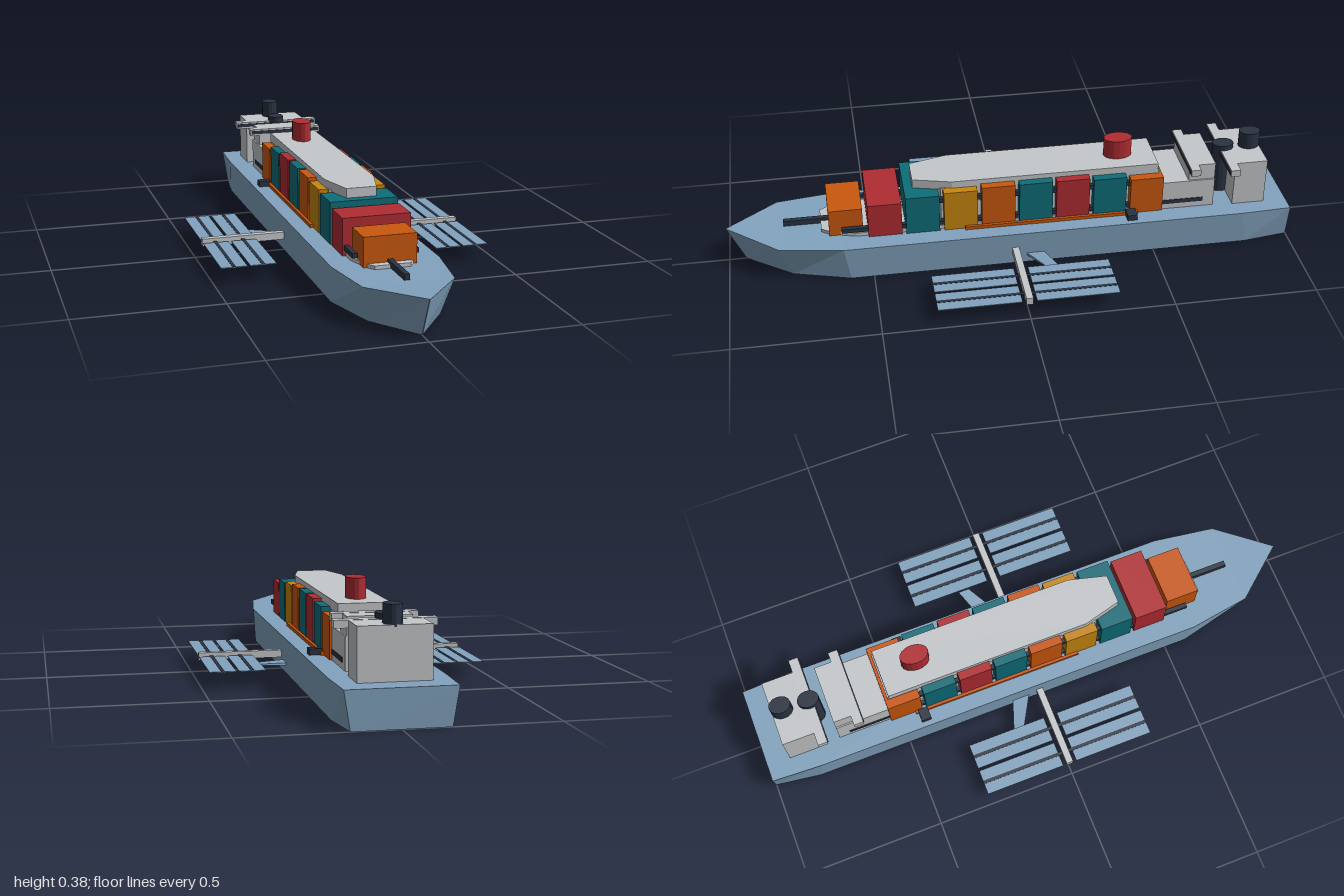
import * as THREE from 'three';

const mat = (name, color) => {
  const m = new THREE.MeshStandardMaterial({ color });
  m.name = name;
  return m;
};

export function createModel() {
  const ship = new THREE.Group();
  ship.name = 'cargoShip';
  const blue = mat('hullBlue', 0x82a3be);
  const grey = mat('paleGrey', 0xc5c8cb);
  const red = mat('red', 0xb02c32);
  const orange = mat('orange', 0xca580e);
  const teal = mat('teal', 0x0e6d79);
  const yellow = mat('yellow', 0xc8870f);
  const dark = mat('darkNavy', 0x2a3342);

  const add = (name, geo, material, parent = ship) => {
    const m = new THREE.Mesh(geo, material);
    m.name = name;
    parent.add(m);
    return m;
  };
  // Box given by its limits on each axis
  const box = (name, material, x0, x1, y0, y1, z0, z1, parent = ship) => {
    const m = add(name, new THREE.BoxGeometry(x1 - x0, y1 - y0, z1 - z0), material, parent);
    m.position.set((x0 + x1) / 2, (y0 + y1) / 2, (z0 + z1) / 2);
    return m;
  };
  // Flat outline in (x, z) raised between two heights
  const slab = (name, material, points, y0, y1) => {
    const shape = new THREE.Shape(points.map(([x, z]) => new THREE.Vector2(x, -z)));
    const geo = new THREE.ExtrudeGeometry(shape, { depth: y1 - y0, bevelEnabled: false });
    geo.rotateX(-Math.PI / 2).translate(0, y0, 0);
    return add(name, geo, material);
  };
  // Skin a row of four-cornered sections, with end caps
  const loft = (sections) => {
    const pos = [];
    const quad = (a, b, c, d) => pos.push(...a, ...b, ...c, ...a, ...c, ...d);
    for (let i = 0; i < sections.length - 1; i++) {
      const s = sections[i], t = sections[i + 1];
      for (let k = 0; k < 4; k++) quad(s[k], t[k], t[(k + 1) % 4], s[(k + 1) % 4]);
    }
    quad(...sections[0]);
    quad(...[...sections[sections.length - 1]].reverse());
    const geo = new THREE.BufferGeometry();
    geo.setAttribute('position', new THREE.Float32BufferAttribute(pos, 3));
    geo.computeVertexNormals();
    return geo;
  };

  // Hull: deck z, keel z, deck half width, keel half width, deck height
  const stations = [
    [-1, -1, 0.175, 0.155, 0.125],
    [-0.82, -0.84, 0.183, 0.178, 0.125],
    [0.6, 0.58, 0.183, 0.178, 0.125],
    [0.82, 0.78, 0.15, 0.12, 0.127],
    [1, 0.94, 0.001, 0.001, 0.134],
  ];
  add('hull', loft(stations.map(([z, zb, w, wb, y]) =>
    [[-w, y, z], [w, y, z], [wb, 0, zb], [-wb, 0, zb]])), blue);

  // Cargo bed and inner core
  slab('cargoBed', grey, [[-0.105, -0.55], [-0.105, 0.55], [-0.08, 0.64], [-0.06, 0.67],
    [0.06, 0.67], [0.08, 0.64], [0.105, 0.55], [0.105, -0.55]].reverse(), 0.12, 0.138);
  box('cargoCore', grey, -0.085, 0.085, 0.13, 0.28, -0.53, 0.25);

  // Containers: rear z, half width, top, colour
  const containers = [
    [0.525, 0.09, 0.227, orange], [0.39, 0.117, 0.253, red], [0.258, 0.118, 0.271, teal],
    [0.124, 0.118, 0.279, yellow], [-0.009, 0.118, 0.287, orange], [-0.142, 0.118, 0.287, teal],
    [-0.274, 0.118, 0.287, red], [-0.407, 0.118, 0.279, teal], [-0.54, 0.118, 0.265, orange],
  ];
  containers.forEach(([z, w, top, m], i) =>
    box('container' + (i + 1), m, -w, w, 0.126, top, z, z + 0.118));

  // Long roof over the containers
  slab('spineRoof', grey, [[-0.088, -0.525], [0.088, -0.525], [0.088, 0.21],
    [0.053, 0.345], [-0.053, 0.345], [-0.088, 0.21]].reverse(), 0.272, 0.305);

  // Rails, walkways and side bollards
  for (const s of [-1, 1]) {
    const side = new THREE.Group();
    side.name = s > 0 ? 'leftFittings' : 'rightFittings';
    ship.add(side);
    const at = (name, m, x, w, y0, y1, z0, z1) =>
      box(name, m, s * x - w / 2, s * x + w / 2, y0, y1, z0, z1, side);
    at('upperRail', dark, 0.1, 0.016, 0.235, 0.252, -0.42, 0.36);
    at('lowerRail', dark, 0.104, 0.016, 0.146, 0.162, -0.69, 0.6);
    at('walkway', orange, 0.123, 0.01, 0.122, 0.137, -0.45, 0.17);
    at('sideBollard', dark, 0.142, 0.044, 0.122, 0.146, -0.44, -0.405);
  }
  box('bowSprit', dark, -0.009, 0.009, 0.128, 0.148, 0.62, 0.8);

  // Bridge and stern house
  box('bridgeBase', grey, -0.11, 0.11, 0.12, 0.235, -0.73, -0.54);
  box('bridgeHouse', grey, -0.105, 0.105, 0.23, 0.272, -0.73, -0.635);
  box('bridgeRoof', grey, -0.105, 0.105, 0.27, 0.296, -0.73, -0.66);
  box('sternHouse', grey, -0.117, 0.117, 0.12, 0.296, -0.917, -0.8);
  // Cross beams with a window strip along the front
  for (const [w, z] of [[0.14, -0.65], [0.163, -0.787]]) {
    box('crossBeam', grey, -w, w, 0.272, 0.297, z - 0.018, z + 0.016);
    box('beamWindows', dark, -w + 0.004, w - 0.004, 0.279, 0.291, z + 0.014, z + 0.019);
  }

  // Oval funnels
  const funnel = (name, m, rx, rz, y0, y1, z) => {
    const geo = new THREE.CylinderGeometry(1, 1, y1 - y0, 16).toNonIndexed();
    geo.scale(rx, 1, rz);
    geo.computeVertexNormals();
    add(name, geo, m).position.set(0, (y0 + y1) / 2, z);
  };
  funnel('redFunnel', red, 0.034, 0.051, 0.3, 0.375, -0.395);
  funnel('sternFunnel', dark, 0.03, 0.038, 0.29, 0.357, -0.88);
  funnel('frontSternFunnel', dark, 0.03, 0.038, 0.125, 0.315, -0.785);

  // Outriggers with panels
  for (const s of [-1, 1]) {
    const wing = new THREE.Group();
    wing.name = s > 0 ? 'leftOutrigger' : 'rightOutrigger';
    ship.add(wing);
    box('outriggerBeam', grey, s * 0.325 - 0.15, s * 0.325 + 0.15, 0.042, 0.068, -0.012, 0.012, wing);
    for (const x of [0.33, 0.43]) {
      box('panelSpar', dark, s * x - 0.006, s * x + 0.006, 0.0525, 0.0575, -0.31, 0.31, wing);
      for (const z of [-0.168, 0.168])
        box('panel', blue, s * x - 0.045, s * x + 0.045, 0.0535, 0.0565, z - 0.143, z + 0.143, wing);
    }
    // Swept stabilising fin
    const ends = [
      [[0.17, 0.038, -0.1], [0.17, 0.038, -0.035], [0.17, 0.028, -0.035], [0.17, 0.028, -0.1]],
      [[0.285, 0.044, -0.14], [0.285, 0.044, -0.1], [0.285, 0.039, -0.1], [0.285, 0.039, -0.14]],
    ].map((loop) => loop.map(([x, y, z]) => [s * x, y, z]));
    // The loop faces backward for one side, so reverse it there
    add('fin', loft(s > 0 ? ends.map((l) => [...l].reverse()) : ends), blue, wing);
  }

  return ship;
}
